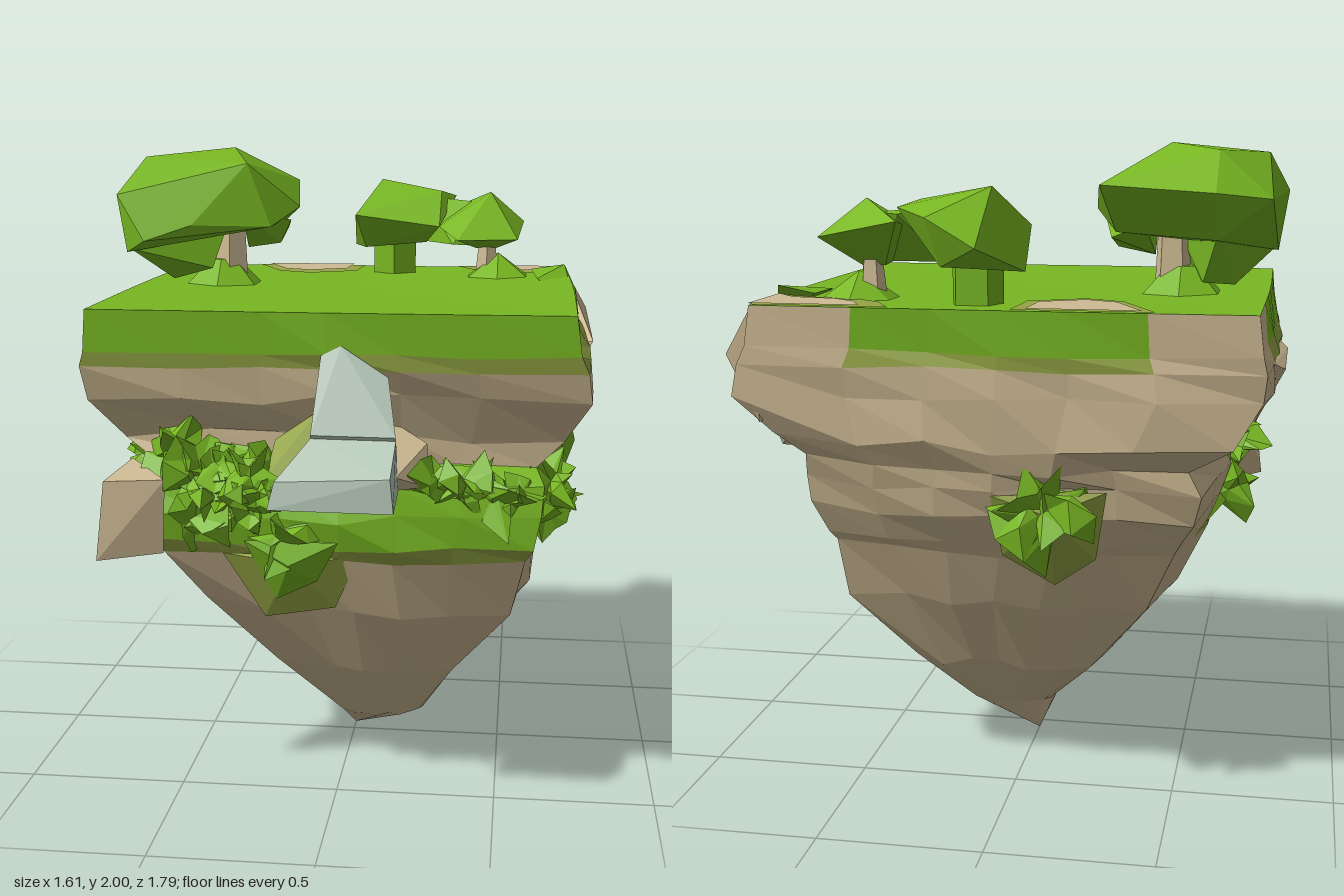
import * as THREE from 'three';
import { mergeGeometries } from 'three/addons/utils/BufferGeometryUtils.js';
import { ConvexGeometry } from 'three/addons/geometries/ConvexGeometry.js';

const material = (name, color) => {
  const m = new THREE.MeshStandardMaterial({ color, flatShading: true, side: THREE.DoubleSide });
  m.name = name;
  return m;
};

// Repeatable noise in 0..1
const hash = (a, b, c) => {
  const s = Math.sin(a * 12.9898 + b * 78.233 + c * 37.719) * 43758.5453;
  return s - Math.floor(s);
};

export function createModel() {
  const mats = {
    rock: material('rock', 0xcfbb94),
    grass: material('grass', 0x78b722),
    moss: material('moss', 0x95a645),
    water: material('water', 0xb9cbbb),
  };
  const group = new THREE.Group();
  group.name = 'floatingIsland';
  const add = (name, mat, geo) => {
    const mesh = new THREE.Mesh(geo, mats[mat]);
    mesh.name = name;
    group.add(mesh);
    return mesh;
  };
  const hull = (name, mat, pts) =>
    add(name, mat, new ConvexGeometry(pts.map((p) => new THREE.Vector3(...p))));

  // Island body: squarish rings [y, left, right, back, front, roundness, jitter, extra roundness at the back]
  const N = 24;
  const layers = [
    [1.545, -0.75, 0.72, -0.83, 0.605, 0.04, 0, 0],
    [1.42, -0.77, 0.74, -0.83, 0.605, 0.05, 0.01, 0],
    [1.375, -0.79, 0.77, -0.83, 0.6, 0.07, 0.01, 0],
    [1.28, -0.80, 0.79, -0.83, 0.58, 0.1, 0.025, 0],
    [1.15, -0.71, 0.73, -0.83, 0.51, 0.15, 0.03, 0.05],
    [1.08, -0.63, 0.65, -0.79, 0.51, 0.2, 0.025, 0.15],
    [1.01, -0.65, 0.68, -0.77, 0.58, 0.16, 0.02, 0.2],
    [0.92, -0.64, 0.68, -0.75, 0.61, 0.2, 0.02, 0.2],
    [0.83, -0.60, 0.64, -0.69, 0.6, 0.22, 0.012, 0.2],
    [0.785, -0.58, 0.62, -0.65, 0.58, 0.25, 0.012, 0.18],
    [0.60, -0.49, 0.60, -0.57, 0.51, 0.4, 0.025, 0.05],
    [0.35, -0.28, 0.42, -0.42, 0.37, 0.6, 0.025, 0],
    [0.12, -0.06, 0.25, -0.15, 0.16, 0.8, 0.01, 0],
    [0, 0, 0, -0.06, -0.06, 1, 0, 0],
  ];
  const rings = layers.map(([y, x0, x1, z0, z1, round, jit, back], k) =>
    Array.from({ length: N }, (_, i) => {
      const a = (i / N) * Math.PI * 2, c = Math.cos(a), s = Math.sin(a);
      const r = round + (s < 0 ? back : 0);
      const f = (1 - r) / Math.max(Math.abs(c), Math.abs(s)) + r;
      const w = 1 - jit * 2 * (hash(i, k, 3) - 0.3);
      return [
        (x0 + x1) / 2 + (c * f * w * (x1 - x0)) / 2,
        y + jit * (hash(i, k, 7) - 0.5) * 1.6,
        (z0 + z1) / 2 + (s * f * w * (z1 - z0)) / 2,
      ];
    }));

  // Colour of each band; the back is mostly bare rock, and the ledge falls away along the right side
  const turf = (x, z) => z > -0.66 || (z < -0.7 && Math.abs(x) < 0.45);
  const ledge = (x, z, low) => z > (x > 0.5 ? low : -0.34);
  const bandColour = (k, x, z) => {
    if (k === 0) return turf(x, z) ? 'grass' : 'rock';
    if (k === 1) return turf(x, z) ? 'moss' : 'rock';
    if (k >= 5 && k <= 7) return ledge(x, z, [0.3, 0.15, -0.2][k - 5]) ? 'grass' : 'rock';
    if (k === 8) return ledge(x, z, -0.34) ? 'moss' : 'rock';
    return 'rock';
  };
  const faces = { rock: [], grass: [], moss: [] };
  for (let k = 0; k < rings.length - 1; k++) {
    for (let i = 0; i < N; i++) {
      const j = (i + 1) % N;
      const [a, b, c, d] = [rings[k][i], rings[k][j], rings[k + 1][i], rings[k + 1][j]];
      const list = faces[bandColour(k, (a[0] + b[0]) / 2, (a[2] + b[2]) / 2)];
      if (k === rings.length - 2) list.push(a, b, c);
      else list.push(a, b, c, b, d, c);
    }
  }
  rings[0].forEach((p, i) => faces.grass.push([0, 1.535, -0.1], rings[0][(i + 1) % N], p));
  for (const [mat, pts] of Object.entries(faces)) {
    const geo = new THREE.BufferGeometry();
    geo.setAttribute('position', new THREE.Float32BufferAttribute(pts.flat(), 3));
    geo.computeVertexNormals();
    add(mat + 'Body', mat, geo);
  }

  // Bare patches on the plateau, each with a mossy border
  const topPatch = (outline, cx, cz) => [['moss', 1, 1.548], ['rock', 0.8, 1.552]].forEach(([mat, s, y]) => {
    const shape = new THREE.Shape(outline.map(([x, z]) =>
      new THREE.Vector2(cx + (x - cx) * s, -(cz + (z - cz) * s))));
    add('barePatch', mat, new THREE.ShapeGeometry(shape).rotateX(-Math.PI / 2).translate(0, y, 0));
  });
  topPatch([[-0.46, -0.825], [-0.05, -0.825], [-0.06, -0.6], [-0.22, -0.51], [-0.34, -0.57]], -0.27, -0.825);
  topPatch([[0.3, -0.825], [0.71, -0.825], [0.71, -0.5], [0.62, -0.6], [0.45, -0.63], [0.36, -0.7]], 0.71, -0.825);

  // Grass hanging below the front ledge and on the right flank, over mossy borders
  hull('mossDrip', 'moss', [[-0.34, 0.8, 0.575], [0.08, 0.8, 0.575], [0, 0.62, 0.525], [-0.22, 0.58, 0.515],
    [-0.13, 0.78, 0.605], [-0.1, 0.7, 0.45]]);
  hull('grassDrip', 'grass', [[-0.27, 0.85, 0.605], [0.02, 0.85, 0.605], [-0.05, 0.72, 0.58], [-0.18, 0.65, 0.55],
    [-0.13, 0.78, 0.63], [-0.12, 0.72, 0.45]]);
  hull('flankMoss', 'moss', [[0.62, 1.2, 0.05], [0.71, 1.22, -0.15], [0.66, 1.18, -0.22], [0.69, 0.93, -0.4],
    [0.6, 0.79, -0.4], [0.65, 0.84, 0], [0.72, 1.05, -0.12]]);
  hull('flankGrass', 'grass', [[0.7, 1.13, -0.02], [0.72, 1.12, -0.13], [0.7, 0.95, -0.33], [0.69, 0.88, -0.28],
    [0.69, 0.9, -0.08], [0.74, 1.03, -0.12]]);
  hull('flankTuftMoss', 'moss', [[0.52, 0.69, -0.34], [0.53, 0.62, -0.44], [0.49, 0.44, -0.32], [0.54, 0.58, -0.33], [0.4, 0.6, -0.35]]);
  hull('flankTuft', 'grass', [[0.54, 0.68, -0.36], [0.55, 0.62, -0.4], [0.52, 0.47, -0.31], [0.57, 0.6, -0.33], [0.4, 0.6, -0.35]]);
  hull('springMoss', 'moss', [[-0.18, 1.15, 0.54], [-0.04, 1.25, 0.57], [-0.03, 1.05, 0.64], [-0.2, 1.05, 0.6], [-0.1, 1.1, 0.4]]);
  hull('backMoss', 'moss', [[-0.32, 1.02, -0.76], [0.02, 1.0, -0.77], [0, 0.8, -0.69], [-0.15, 0.7, -0.64],
    [-0.28, 0.8, -0.69], [-0.15, 0.95, -0.785], [-0.15, 0.9, -0.5]]);

  // Jutting rocks
  hull('frontRock', 'rock', [[-0.69, 1.03, 0.64], [-0.66, 1.05, 0.4], [-0.5, 1.04, 0.64], [-0.72, 0.78, 0.64],
    [-0.52, 0.8, 0.6], [-0.6, 0.8, 0.4]]);
  hull('sideRock', 'rock', [[0.76, 1.22, -0.24], [0.78, 1.22, -0.54], [0.6, 1.25, -0.2], [0.6, 1.25, -0.6],
    [0.72, 1.06, -0.2], [0.74, 1.07, -0.5], [0.5, 1.05, -0.4]]);
  hull('cornerRock', 'rock', [[0.71, 1.54, -0.81], [0.72, 1.4, -0.67], [0.79, 1.4, -0.81], [0.8, 1.34, -0.32],
    [0.72, 1.18, -0.4], [0.7, 1.2, -0.8], [0.5, 1.3, -0.6]]);
  hull('leftRock', 'rock', [[-0.78, 1.38, -0.6], [-0.81, 1.35, -0.5], [-0.81, 1.35, -0.05], [-0.78, 1.37, 0],
    [-0.72, 1.15, -0.3], [-0.5, 1.3, -0.3]]);
  hull('springRock', 'rock', [[0.15, 1.22, 0.5], [0.28, 1.15, 0.54], [0.29, 1.03, 0.6], [0.2, 1.08, 0.7], [0.1, 1.03, 0.7], [0.1, 1.03, 0.5]]);

  // Waterfall: steep sheet and flared foot
  hull('waterfall', 'water', [[-0.03, 1.42, 0.61], [0.03, 1.45, 0.61], [0.17, 1.36, 0.62], [0.2, 1.2, 0.71],
    [-0.05, 1.2, 0.7], [0.2, 1.03, 0.6], [-0.06, 1.03, 0.58], [0.06, 1.4, 0.52]]);
  hull('waterfallFoot', 'water', [[-0.05, 1.19, 0.69], [0.2, 1.19, 0.7], [0.2, 1.12, 0.89], [-0.13, 1.1, 0.87],
    [-0.15, 1.02, 0.88], [0.21, 1.02, 0.89], [0.2, 1.02, 0.6], [-0.08, 1.02, 0.6]]);

  // Spiky foliage clump: a ball with some corners pulled far out
  const clump = (x, y, z, r, seed, high = 1.6, depth = 1) => {
    const g = new THREE.IcosahedronGeometry(1, 1);
    const p = g.attributes.position;
    for (let i = 0; i < p.count; i++) {
      const v = [p.getX(i), p.getY(i), p.getZ(i)].map((n) => Math.round(n * 100));
      const s = (r * (0.3 + (high - 0.3) * hash(v[0] + seed, v[1], v[2]) ** 2)) / 100;
      p.setXYZ(i, x + v[0] * s, y + v[1] * s, z + v[2] * s * depth);
    }
    return g;
  };
  const bushes = [];
  const spread = (n, from, to, r, seed) => {
    for (let i = 0; i < n; i++) {
      const t = (i + 0.5) / n, o = (c) => hash(i, seed, c) - 0.5;
      bushes.push(clump(from[0] + (to[0] - from[0]) * t + o(1) * 0.04,
        from[1] + (to[1] - from[1]) * t + o(2) * 0.12,
        from[2] + (to[2] - from[2]) * t + o(3) * 0.04, r * (0.8 + 0.4 * hash(i, seed, 4)), seed + i));
    }
  };
  spread(7, [-0.53, 1.09, 0.51], [-0.14, 1.06, 0.55], 0.09, 11);
  spread(6, [-0.48, 0.92, 0.57], [-0.14, 0.9, 0.58], 0.085, 23);
  spread(5, [0.28, 1.02, 0.55], [0.58, 0.94, 0.53], 0.095, 37);
  spread(5, [0.63, 0.98, 0.5], [0.65, 0.87, 0.1], 0.095, 51);
  spread(5, [-0.6, 1.0, 0.38], [-0.62, 0.98, -0.25], 0.09, 71);
  spread(2, [-0.25, 1.05, 0.7], [-0.15, 1.07, 0.74], 0.075, 83);
  add('ledgeBushes', 'grass', mergeGeometries(bushes));
  add('backBush', 'grass', mergeGeometries([5, 17, 29].map((seed) => clump(-0.14, 0.96, -0.74, 0.15, seed, 1.4, 0.6))));

  // Large tree
  hull('largeCanopy', 'grass', [[-0.45, 2, -0.3], [-0.74, 1.97, -0.2], [-0.6, 1.98, -0.42], [-0.38, 1.95, -0.14],
    [-0.8, 1.85, -0.02], [-0.76, 1.84, -0.48], [-0.6, 1.86, -0.58], [-0.26, 1.88, -0.54], [-0.22, 1.8, -0.27],
    [-0.3, 1.74, -0.13], [-0.55, 1.75, -0.02], [-0.7, 1.7, 0.03], [-0.77, 1.66, -0.02], [-0.45, 1.74, -0.15],
    [-0.3, 1.74, -0.45], [-0.6, 1.72, -0.48]]);
  hull('largeCanopyUnderside', 'grass', [[-0.76, 1.67, -0.03], [-0.64, 1.56, -0.15], [-0.5, 1.6, -0.12],
    [-0.45, 1.75, -0.15], [-0.6, 1.74, -0.4], [-0.55, 1.58, -0.3]]);
  hull('largeCanopyLobe', 'grass', [[-0.4, 1.66, -0.26], [-0.28, 1.68, -0.22], [-0.24, 1.76, -0.2], [-0.4, 1.78, -0.14],
    [-0.38, 1.76, -0.4], [-0.28, 1.72, -0.4]]);
  add('largeTrunk', 'rock', new THREE.CylinderGeometry(0.05, 0.06, 0.2, 5).translate(-0.45, 1.65, -0.22));
  add('largeTreeBase', 'grass', new THREE.CylinderGeometry(0.05, 0.14, 0.09, 6).translate(-0.48, 1.58, -0.22));

  // Small twin tree
  hull('backCanopy', 'grass', [[0.03, 1.72, -0.9], [0.18, 1.8, -0.86], [0.3, 1.82, -0.7], [0.25, 1.72, -0.48],
    [-0.05, 1.76, -0.47], [-0.07, 1.64, -0.68], [0.03, 1.88, -0.66], [0.25, 1.84, -0.62], [-0.02, 1.64, -0.55],
    [0.15, 1.66, -0.8], [0.2, 1.66, -0.55]]);
  hull('sideCanopy', 'grass', [[0.3, 1.78, -0.72], [0.55, 1.73, -0.67], [0.53, 1.68, -0.43], [0.32, 1.68, -0.37],
    [0.25, 1.72, -0.48], [0.43, 1.84, -0.56], [0.38, 1.64, -0.55], [0.45, 1.64, -0.55]]);
  hull('canopyBridge', 'grass', [[0.18, 1.82, -0.65], [0.18, 1.66, -0.62], [0.4, 1.8, -0.6], [0.4, 1.65, -0.52],
    [0.3, 1.66, -0.45], [0.3, 1.8, -0.7]]);
  add('backTrunk', 'grass', new THREE.CylinderGeometry(0.08, 0.08, 0.14, 5).translate(0.08, 1.61, -0.65));
  add('sideTrunk', 'rock', new THREE.CylinderGeometry(0.03, 0.045, 0.14, 5).translate(0.42, 1.6, -0.55));
  add('sideTreeBase', 'grass', new THREE.ConeGeometry(0.13, 0.09, 6).translate(0.46, 1.58, -0.55));
  hull('rimTuft', 'grass', [[0.58, 1.56, -0.62], [0.7, 1.58, -0.6], [0.74, 1.5, -0.5], [0.75, 1.42, -0.42],
    [0.73, 1.48, -0.33], [0.6, 1.55, -0.38]]);
  return group;
}
